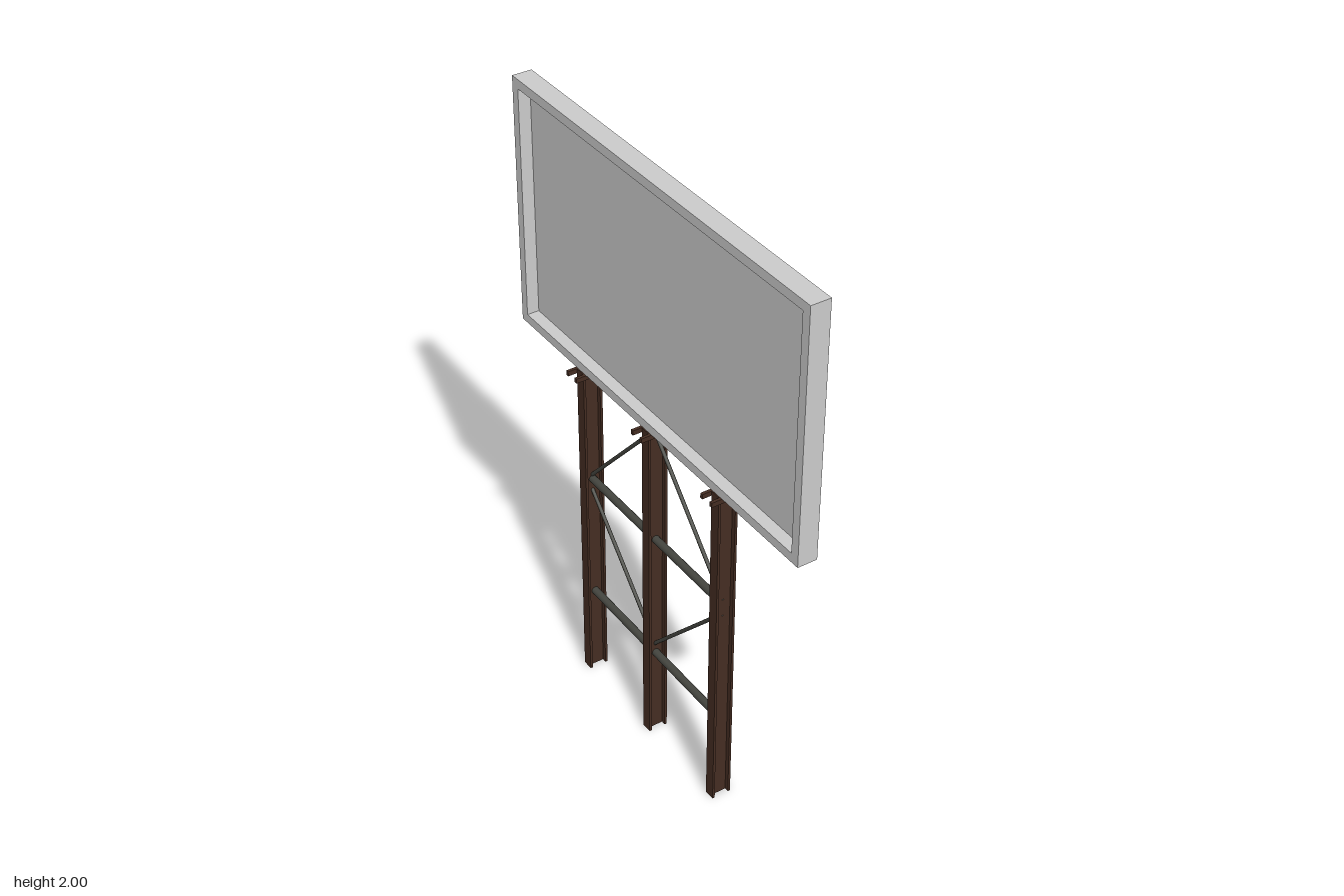
import * as THREE from 'three';

const panelMat = new THREE.MeshStandardMaterial({ color: 0xcccccc });
const rustMat = new THREE.MeshStandardMaterial({ color: 0x452d22 });
const steelMat = new THREE.MeshStandardMaterial({ color: 0x454640 });

const POST_X = -0.003;
const POST_Z = [0.333, -0.02, -0.373];
const PANEL_BOTTOM = 1.175;

function rect(path, x0, y0, x1, y1) {
  return path.moveTo(x0, y0).lineTo(x1, y0).lineTo(x1, y1).lineTo(x0, y1).closePath();
}

function box(name, mat, w, h, d, x, y, z) {
  const mesh = new THREE.Mesh(new THREE.BoxGeometry(w, h, d), mat);
  mesh.name = name;
  mesh.position.set(x, y, z);
  return mesh;
}

// Round bar between two (y, z) points in the plane of the posts
function bar(name, radius, y0, z0, y1, z1) {
  const a = new THREE.Vector3(POST_X, y0, z0);
  const b = new THREE.Vector3(POST_X, y1, z1);
  const mesh = new THREE.Mesh(new THREE.CylinderGeometry(radius, radius, a.distanceTo(b), 12), steelMat);
  mesh.name = name;
  mesh.position.copy(a).add(b).multiplyScalar(0.5);
  mesh.quaternion.setFromUnitVectors(new THREE.Vector3(0, 1, 0), b.sub(a).normalize());
  return mesh;
}

// Display panel: flat face on +x, recessed tray with a raised rim on -x
function makePanel() {
  const panel = new THREE.Group();
  panel.name = 'displayPanel';
  const halfZ = 0.712, rim = 0.03, top = 2, halfX = 0.032, recess = 0.04;
  const frame = new THREE.Shape();
  rect(frame, -halfZ, PANEL_BOTTOM, halfZ, top);
  const hole = new THREE.Path();
  rect(hole, -halfZ + rim, PANEL_BOTTOM + rim, halfZ - rim, top - rim);
  frame.holes.push(hole);
  const geo = new THREE.ExtrudeGeometry(frame, { depth: halfX * 2, bevelEnabled: false });
  geo.rotateY(-Math.PI / 2).translate(halfX, 0, 0);
  const rimMesh = new THREE.Mesh(geo, panelMat);
  rimMesh.name = 'panelRim';
  const thick = halfX * 2 - recess;
  panel.add(rimMesh, box('panelSheet', panelMat, thick, top - PANEL_BOTTOM - rim * 2, (halfZ - rim) * 2,
    halfX - thick / 2, (top + PANEL_BOTTOM) / 2, 0));
  return panel;
}

// I-beam post with flanges facing +x and -x, and two clamp bars on top
function makePost(z) {
  const post = new THREE.Group();
  post.name = 'post';
  const a = 0.0325, f = 0.0245, b = 0.018, w = 0.003;
  const section = new THREE.Shape([
    [-a, -b], [-f, -b], [-f, -w], [f, -w], [f, -b], [a, -b],
    [a, b], [f, b], [f, w], [-f, w], [-f, b], [-a, b],
  ].map(([x, y]) => new THREE.Vector2(x, y)));
  const geo = new THREE.ExtrudeGeometry(section, { depth: PANEL_BOTTOM, bevelEnabled: false });
  geo.rotateX(-Math.PI / 2);
  const beam = new THREE.Mesh(geo, rustMat);
  beam.name = 'postBeam';
  beam.position.set(POST_X, 0, z);
  post.add(beam);
  for (const side of [-1, 1]) {
    post.add(box('clampBar', rustMat, 0.128, 0.016, 0.01, -0.002, PANEL_BOTTOM - 0.008, z + side * 0.023));
  }
  return post;
}

export function createModel() {
  const model = new THREE.Group();
  model.name = 'billboard';
  model.add(makePanel());
  for (const z of POST_Z) model.add(makePost(z));

  // Horizontal and diagonal bracing between the middle post and each outer post
  const mid = POST_Z[1];
  for (const outer of [POST_Z[0], POST_Z[2]]) {
    for (const y of [0.312, 0.764]) model.add(bar('crossBar', 0.0125, y, outer, y, mid));
    model.add(bar('upperDiagonal', 0.006, 0.776, outer, 1.163, mid));
    model.add(bar('lowerDiagonal', 0.006, 0.723, outer, 0.346, mid));
  }
  return model;
}
